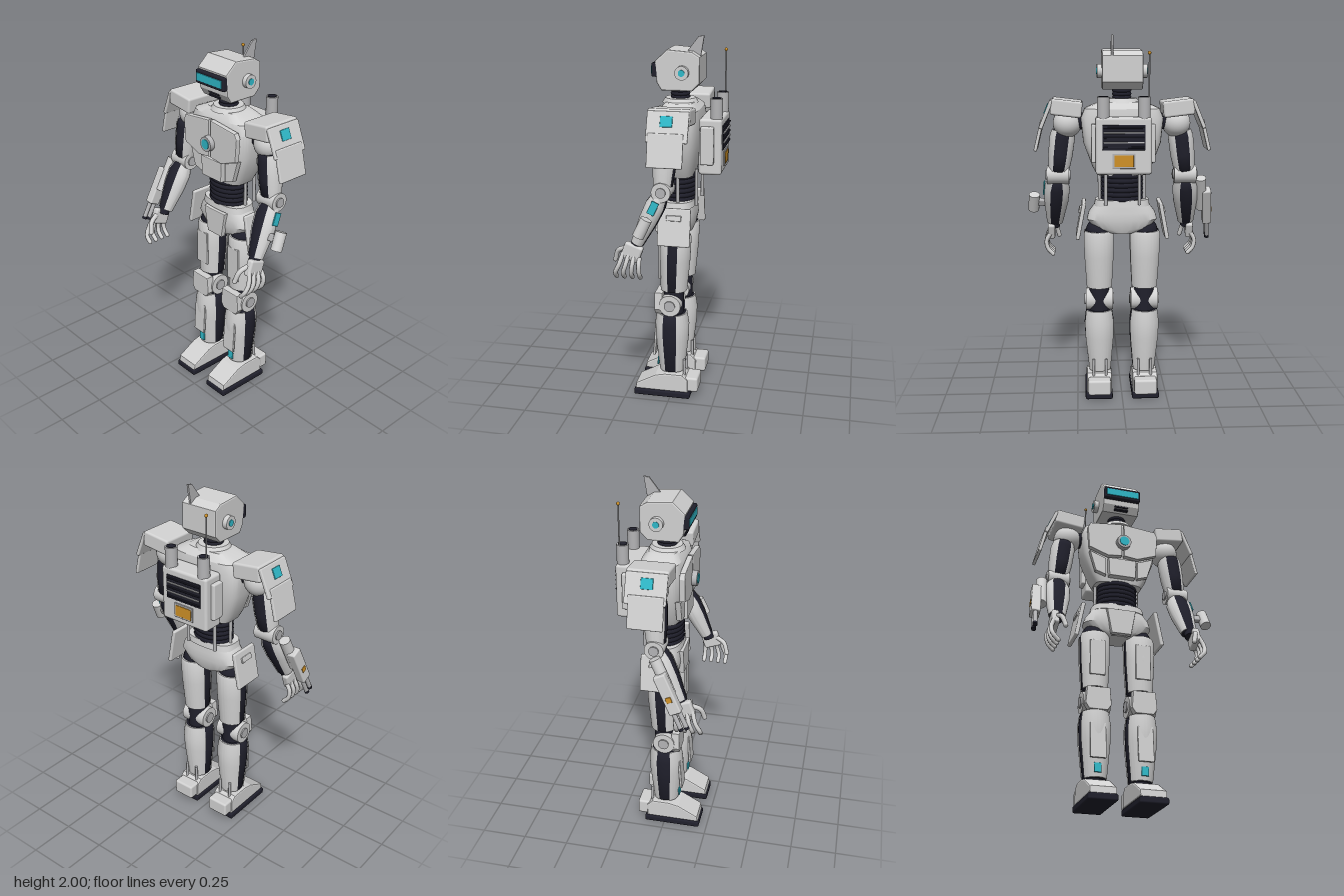
import * as THREE from 'three';
import { toCreasedNormals } from 'three/addons/utils/BufferGeometryUtils.js';
import { RoundedBoxGeometry } from 'three/addons/geometries/RoundedBoxGeometry.js';

const material = (name, color) => {
  const m = new THREE.MeshStandardMaterial({ color, side: THREE.DoubleSide });
  m.name = name;
  return m;
};

export function createModel() {
  const armor = material('light armor', 0xd2d2d2);
  const metal = material('grey metal', 0xb4b4b6);
  const dark = material('dark rubber', 0x20202c);
  const cyan = material('cyan light', 0x30b8c8);
  const orange = material('orange', 0xcf9127);
  const model = new THREE.Group();
  model.name = 'robot';

  const add = (name, geo, mat, p = [0, 0, 0], r = [0, 0, 0], parent = model) => {
    const m = new THREE.Mesh(geo, mat);
    m.name = name;
    m.position.set(...p);
    m.rotation.set(...r);
    parent.add(m);
    return m;
  };
  const box = (w, h, d, r = 0.008) => new RoundedBoxGeometry(w, h, d, 2, Math.min(r, w / 3, h / 3, d / 3));
  const cyl = (rt, rb, h, n = 24) => new THREE.CylinderGeometry(rt, rb, h, n);
  // Disc or drum whose axis runs along x
  const drum = (r, w) => cyl(r, r, w, 28).rotateZ(Math.PI / 2);
  // Bevelled plate from an outline in x and y, centred on z = 0
  const plate = (pts, d, b = 0.005) => new THREE.ExtrudeGeometry(
    new THREE.Shape(pts.map(p => new THREE.Vector2(...p))),
    { depth: d - 2 * b, bevelThickness: b, bevelSize: b, bevelOffset: -b, bevelSegments: 2 }
  ).translate(0, 0, b - d / 2);
  // Same, from a side outline in z and y, extruded across x
  const sidePlate = (pts, w, b) => plate(pts, w, b).rotateY(-Math.PI / 2);
  const lathe = (pts, start = 0, len = Math.PI * 2, n = 32) =>
    new THREE.LatheGeometry(pts.map(p => new THREE.Vector2(...p)), n, start, len);
  const tube = (pts, r) => new THREE.TubeGeometry(
    new THREE.CatmullRomCurve3(pts.map(p => new THREE.Vector3(...p))), 14, r, 8);

  // Superellipse loft through levels of [y, half width, half depth, z centre]
  const loft = (levels, e = 4, n = 40) => {
    const pos = [], idx = [];
    const pw = v => Math.sign(v) * Math.abs(v) ** (2 / e);
    for (const [y, rx, rz, zc] of [[levels[0][0], 0, 0, levels[0][3]], ...levels,
      [levels.at(-1)[0], 0, 0, levels.at(-1)[3]]])
      for (let i = 0; i < n; i++) {
        const t = i / n * Math.PI * 2;
        pos.push(rx * pw(Math.sin(t)), y, zc + rz * pw(Math.cos(t)));
      }
    for (let k = 0; k <= levels.length; k++)
      for (let i = 0; i < n; i++) {
        const a = k * n + i, b = k * n + (i + 1) % n;
        idx.push(a, b, a + n, b, b + n, a + n);
      }
    const g = new THREE.BufferGeometry();
    g.setAttribute('position', new THREE.Float32BufferAttribute(pos, 3));
    g.setIndex(idx);
    return toCreasedNormals(g, 0.5);
  };

  // Limb segment from a to b: dark core and two curved shells with open seams
  const limb = (name, a, b, profile, gap, turn, scaleZ) => {
    const g = new THREE.Group(), d = new THREE.Vector3(...b).sub(new THREE.Vector3(...a));
    const len = d.length();
    g.name = name;
    g.position.set(...a);
    g.quaternion.setFromUnitVectors(new THREE.Vector3(0, -1, 0), d.normalize());
    const pts = profile.map(([t, r]) => [r, -t * len]).reverse();
    const core = pts.map(([r, y]) => [r * 0.93, y]);
    add(name + 'Core', lathe([[0, core[0][1]], ...core, [0, core.at(-1)[1]]]), dark, undefined, undefined, g).scale.z = scaleZ;
    for (const c of [turn, turn + Math.PI]) {
      const rim = [[pts[0][0] * 0.9, pts[0][1]], ...pts, [pts.at(-1)[0] * 0.9, pts.at(-1)[1]]];
      const shell = lathe(rim, c - Math.PI / 2 + gap, Math.PI - 2 * gap);
      add(name + 'Shell', toCreasedNormals(shell, 0.6), armor, undefined, undefined, g).scale.z = scaleZ;
    }
    model.add(g);
    return g;
  };
  // Slanted slab between two points in the x-y plane
  const slab = (name, a, b, thick, depth, z) => {
    const ux = a[0] - b[0], uy = a[1] - b[1];
    return add(name, box(thick, Math.hypot(ux, uy), depth), armor,
      [(a[0] + b[0]) / 2, (a[1] + b[1]) / 2, z], [0, 0, Math.atan2(-ux, uy)]);
  };

  // Head
  add('head', sidePlate([[0.095, 1.87], [0.03, 1.93], [-0.1, 1.92], [-0.14, 1.895], [-0.14, 1.76],
    [-0.1, 1.72], [0.06, 1.72], [0.085, 1.76]], 0.215, 0.008), armor);
  add('visorFrame', box(0.212, 0.072, 0.04), dark, [0, 1.825, 0.093]);
  add('visorLight', box(0.19, 0.042, 0.008), cyan, [0, 1.825, 0.112]);
  for (let i = 0; i < 3; i++) add('mouthSlot', box(0.08, 0.011, 0.02), dark, [0, 1.735 + i * 0.017, 0.073]);
  add('headFin', sidePlate([[-0.06, 1.91], [-0.125, 1.995], [-0.155, 2], [-0.135, 1.88], [-0.07, 1.88]], 0.012, 0.002), metal, [0.055, 0, 0]);
  for (const s of [1, -1]) {
    add('earDisc', drum(0.036, 0.03), armor, [s * 0.118, 1.815, -0.05]);
    add('earLight', drum(0.017, 0.006), cyan, [s * 0.134, 1.815, -0.05]);
  }
  for (let i = 0; i < 3; i++) add('neckRing', new THREE.TorusGeometry(0.041, 0.011, 8, 24).rotateX(Math.PI / 2), dark, [0, 1.677 + i * 0.018, -0.02]);
  add('neck', cyl(0.04, 0.04, 0.09), dark, [0, 1.69, -0.02]);
  add('collar', cyl(0.08, 0.095, 0.025, 32), armor, [0, 1.66, -0.02]);

  // Torso
  add('torso', loft([[1.265, 0.135, 0.08, -0.02], [1.31, 0.16, 0.09, -0.02], [1.44, 0.208, 0.11, -0.025],
    [1.57, 0.22, 0.115, -0.025], [1.62, 0.2, 0.105, -0.028], [1.655, 0.12, 0.075, -0.028]]), armor);
  for (const s of [1, -1]) {
    const m = pts => pts.map(([x, y]) => [s * x, y]);
    add('chestPlate', plate(m([[0.006, 1.615], [0.19, 1.595], [0.205, 1.565], [0.195, 1.44], [0.085, 1.4], [0.006, 1.41]]), 0.03), armor, [0, 0, 0.1]);
    add('ribPlate', plate(m([[0.09, 1.395], [0.185, 1.43], [0.15, 1.31], [0.09, 1.29]]), 0.03), armor, [0, 0, 0.075]);
    add('waistRod', cyl(0.009, 0.009, 0.18, 10), metal, [s * 0.122, 1.19, -0.03]);
    add('backRod', cyl(0.009, 0.009, 0.2, 10), metal, [s * 0.09, 1.21, -0.125]);
  }
  add('bellyPlate', plate([[-0.08, 1.395], [0.08, 1.395], [0.075, 1.285], [-0.075, 1.285]], 0.04), armor, [0, 0, 0.085]);
  add('reactorRing', cyl(0.04, 0.042, 0.035, 32).rotateX(Math.PI / 2), metal, [0, 1.49, 0.125]);
  add('reactorLight', cyl(0.027, 0.027, 0.006, 28).rotateX(Math.PI / 2), cyan, [0, 1.49, 0.1435]);
  for (let i = 0; i < 6; i++) {
    const ring = new THREE.TorusGeometry(0.1, 0.016, 8, 32).rotateX(Math.PI / 2);
    add('waistRing', ring, dark, [0, 1.135 + i * 0.025, -0.02]).scale.z = 0.8;
  }
  add('waistCore', cyl(0.1, 0.1, 0.16), dark, [0, 1.19, -0.02]).scale.z = 0.8;

  // Backpack with grille, exhausts and aerial
  add('backpack', box(0.29, 0.295, 0.12, 0.015), armor, [0, 1.44, -0.203]);
  for (const s of [1, -1]) {
    add('backpackPod', box(0.03, 0.2, 0.07), armor, [s * 0.152, 1.45, -0.19]);
    add('exhaust', cyl(0.032, 0.032, 0.12), metal, [s * 0.105, 1.63, -0.23]);
    add('exhaustMouth', cyl(0.024, 0.024, 0.004), dark, [s * 0.105, 1.691, -0.23]);
  }
  add('grille', box(0.22, 0.13, 0.008), dark, [0, 1.485, -0.264]);
  for (let i = 0; i < 5; i++) add('grilleSlat', box(0.21, 0.008, 0.012), i % 2 ? metal : dark, [0, 1.435 + i * 0.025, -0.269]);
  add('servicePanel', box(0.12, 0.08, 0.008), metal, [0, 1.365, -0.265]);
  add('serviceLabel', box(0.1, 0.06, 0.006), orange, [0, 1.365, -0.269]);
  add('aerial', cyl(0.004, 0.004, 0.36, 8), metal, [-0.13, 1.73, -0.24]);
  add('aerialTip', new THREE.SphereGeometry(0.009, 12, 8), orange, [-0.13, 1.91, -0.24]);

  // Pelvis
  add('pelvis', loft([[0.945, 0.07, 0.07, -0.02], [0.97, 0.15, 0.08, -0.02], [1.02, 0.192, 0.09, -0.02],
    [1.06, 0.18, 0.088, -0.02], [1.1, 0.15, 0.085, -0.02]], 2.8), armor);
  add('belt', loft([[1.095, 0.152, 0.092, -0.02], [1.13, 0.145, 0.088, -0.02]], 2.8), armor);
  add('crotchPlate', plate([[-0.082, 1.09], [0.082, 1.09], [0.055, 0.945], [-0.055, 0.945]], 0.03), armor, [0, 0, 0.07]);

  for (const s of [1, -1]) {
    // Hips
    add('hipJoint', new THREE.SphereGeometry(0.072, 24, 16), dark, [s * 0.125, 0.95, -0.02]);
    const skirt = slab('hipSkirt', [s * 0.205, 1.12], [s * 0.243, 0.92], 0.022, 0.175, -0.03);
    add('skirtBar', box(0.012, 0.03, 0.08), armor, [s * 0.014, 0.05, 0], undefined, skirt);

    // Legs
    limb('thigh', [s * 0.127, 0.955, -0.02], [s * 0.125, 0.635, -0.01],
      [[0, 0.08], [0.05, 0.086], [0.45, 0.084], [1, 0.073]], 0.32, 0, 1);
    add('thighPanel', box(0.085, 0.2, 0.012), armor, [s * 0.127, 0.8, 0.062]);
    add('kneeCore', cyl(0.055, 0.055, 0.18), dark, [s * 0.125, 0.56, -0.01]);
    add('kneeDrum', drum(0.06, 0.15), armor, [s * 0.125, 0.557, 0]);
    add('kneeDisc', drum(0.03, 0.165), metal, [s * 0.125, 0.557, 0]);
    add('kneeCap', plate([[-0.062, 0.625], [0.062, 0.625], [0.07, 0.53], [0.05, 0.5], [-0.05, 0.5], [-0.07, 0.53]], 0.045), armor, [s * 0.125, 0, 0.065]);
    limb('shin', [s * 0.127, 0.5, 0], [s * 0.123, 0.15, 0],
      [[0, 0.078], [0.2, 0.088], [0.45, 0.085], [1, 0.065]], 0.42, 0, 1.08);
    add('shinPanel', box(0.085, 0.19, 0.014), armor, [s * 0.127, 0.335, 0.088], [-0.07, 0, 0]);
    add('shinLight', box(0.04, 0.05, 0.008), cyan, [s * 0.125, 0.195, 0.077], [-0.07, 0, 0]);
    add('ankle', cyl(0.045, 0.045, 0.08), dark, [s * 0.125, 0.14, 0]);
    for (const d of [-0.035, 0.035]) add('anklePiston', cyl(0.008, 0.008, 0.13, 10), metal, [s * 0.125 + d, 0.16, -0.075]);

    // Feet
    add('sole', box(0.152, 0.036, 0.32, 0.01), dark, [s * 0.13, 0.018, 0.047]);
    add('foot', sidePlate([[0.2, 0.036], [0.195, 0.07], [0.085, 0.13], [0.03, 0.142], [-0.07, 0.142], [-0.1, 0.11], [-0.1, 0.036]], 0.14, 0.008), armor, [s * 0.128, 0, 0]);
    add('heel', box(0.125, 0.085, 0.075, 0.012), armor, [s * 0.128, 0.083, -0.118]);

    // Shoulders
    add('shoulderBall', new THREE.SphereGeometry(0.077, 28, 18), armor, [s * 0.292, 1.54, -0.025]);
    add('shoulderAxle', drum(0.045, 0.1), dark, [s * 0.225, 1.55, -0.025]);
    add('shoulderCap', box(0.165, 0.085, 0.215, 0.012), armor, [s * 0.295, 1.625, -0.035], [0, 0, s * 0.12]);
    const pad = slab('shoulderPad', [s * 0.372, 1.665], [s * 0.432, 1.52], 0.02, 0.21, -0.035);
    slab('lowerShoulderPad', [s * 0.422, 1.565], [s * 0.462, 1.4], 0.018, 0.18, -0.03);
    add('shoulderLight', box(0.008, 0.055, 0.062), cyan, [s * 0.011, 0.025, 0.005], undefined, pad);

    // Arms
    limb('upperArm', [s * 0.315, 1.5, -0.01], [s * 0.342, 1.28, 0],
      [[0, 0.06], [0.15, 0.068], [0.6, 0.066], [1, 0.056]], 0.55, Math.PI / 2, 0.95);
    add('elbowDrum', drum(0.05, 0.12), armor, [s * 0.345, 1.258, 0]);
    add('elbowDisc', drum(0.026, 0.135), metal, [s * 0.345, 1.258, 0]);
    const arm = limb('forearm', [s * 0.348, 1.235, 0.01], [s * 0.37, 0.975, 0.13],
      [[0, 0.052], [0.2, 0.07], [0.5, 0.067], [1, 0.045]], 0.5, Math.PI / 2, 0.8);
    if (s > 0) {
      // Left forearm display and canister
      add('forearmLight', box(0.008, 0.07, 0.04), cyan, [0.071, -0.065, 0], undefined, arm);
      add('canisterMount', box(0.07, 0.04, 0.03), metal, [0.085, -0.16, 0], undefined, arm);
      add('canister', cyl(0.03, 0.03, 0.1), armor, [0.122, -0.165, 0], undefined, arm);
    } else {
      // Right forearm blaster
      add('blasterTube', cyl(0.03, 0.03, 0.2), armor, [-0.088, -0.11, 0], undefined, arm);
      add('blasterBody', box(0.05, 0.22, 0.065), armor, [-0.118, -0.195, 0], undefined, arm);
      add('blasterMark', box(0.006, 0.03, 0.03), orange, [-0.144, -0.22, 0], undefined, arm);
      for (const z of [-0.016, 0.016]) {
        add('blasterBarrel', cyl(0.012, 0.012, 0.1, 14), metal, [-0.118, -0.345, z], undefined, arm);
        add('blasterMuzzle', cyl(0.013, 0.013, 0.015, 14), dark, [-0.118, -0.4, z], undefined, arm);
      }
    }

    // Hands
    add('wrist', cyl(0.03, 0.03, 0.05), dark, [s * 0.372, 0.97, 0.135], [-0.4, 0, 0]);
    add('palm', box(0.04, 0.09, 0.1, 0.012), armor, [s * 0.39, 0.93, 0.155], [-0.35, 0, 0]);
    for (let i = 0; i < 4; i++) {
      const z = 0.115 + i * 0.028, t = 0.115 + i * 0.042;
      add('finger', tube([[s * 0.398, 0.905 + i * 0.008, z], [s * 0.418, 0.865, (z + t) / 2], [s * 0.41, 0.82, t], [s * 0.383, 0.79, t]], 0.012), armor);
      add('fingertip', new THREE.SphereGeometry(0.012, 10, 8), armor, [s * 0.383, 0.79, t]);
    }
    add('thumb', tube([[s * 0.38, 0.95, 0.19], [s * 0.365, 0.925, 0.235], [s * 0.35, 0.87, 0.255]], 0.013), armor);
    add('thumbTip', new THREE.SphereGeometry(0.013, 10, 8), armor, [s * 0.35, 0.87, 0.255]);
  }
  return model;
}
